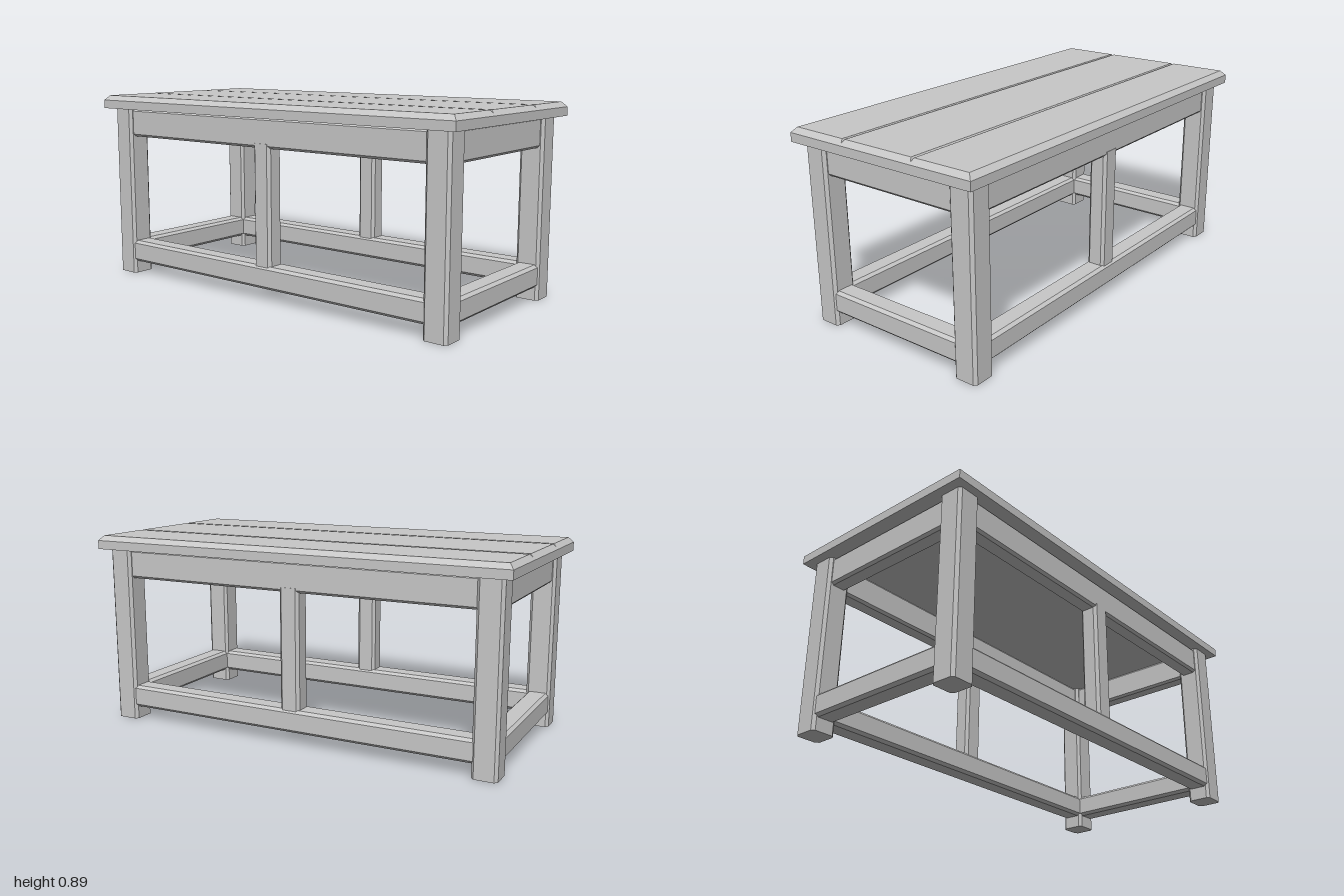
import * as THREE from 'three';

const wood = new THREE.MeshStandardMaterial({ color: 0xc8c8c8 });
wood.name = 'plain grey';

const LEG_X = 0.903, LEG_Z = 0.3935, TOP_Y = 0.825;

// Extrude an outline along z, centred on the origin
function extrude(points, length) {
  const shape = new THREE.Shape(points.map(([x, y]) => new THREE.Vector2(x, y)));
  const geometry = new THREE.ExtrudeGeometry(shape, { depth: length, bevelEnabled: false });
  return geometry.translate(0, 0, -length / 2);
}

// Beam along z whose four long edges are chamfered by c
function beam(w, h, length, c) {
  const x = w / 2, y = h / 2;
  return extrude([
    [-x + c, -y], [x - c, -y], [x, -y + c], [x, y - c],
    [x - c, y], [-x + c, y], [-x, y - c], [-x, -y + c],
  ], length);
}

export function createModel() {
  const group = new THREE.Group();
  const add = (name, geometry, x, y, z) => {
    const mesh = new THREE.Mesh(geometry, wood);
    mesh.name = name;
    mesh.position.set(x, y, z);
    group.add(mesh);
  };

  // Table top: square slab below, bevelled and grooved layer above
  add('topSlab', new THREE.BoxGeometry(2, 0.04, 0.97), 0, TOP_Y + 0.02, 0);
  const rise = 0.023, run = 0.021, g = 0.187;
  const planks = extrude([
    [-0.485, 0], [0.485, 0], [0.463, rise],
    [g + 0.008, rise], [g, 0.009], [g - 0.008, rise],
    [-g + 0.008, rise], [-g, 0.009], [-g - 0.008, rise],
    [-0.463, rise],
  ], 2);
  // Slope both ends inward with height
  const p = planks.attributes.position;
  for (let i = 0; i < p.count; i++) {
    p.setZ(i, Math.sign(p.getZ(i)) * (1 - run * p.getY(i) / rise));
  }
  planks.rotateY(Math.PI / 2);
  planks.computeVertexNormals();
  add('topPlanks', planks, 0, TOP_Y + 0.04, 0);

  // Legs
  const leg = beam(0.113, 0.113, TOP_Y, 0.013).rotateX(-Math.PI / 2);
  for (const x of [-LEG_X, LEG_X]) {
    for (const z of [-LEG_Z, LEG_Z]) add('leg', leg, x, TOP_Y / 2, z);
  }

  // Aprons under the top and stretchers near the floor
  const longApron = beam(0.08, 0.135, 1.74, 0.011).rotateY(Math.PI / 2);
  const longRail = beam(0.1, 0.105, 1.74, 0.013).rotateY(Math.PI / 2);
  const post = beam(0.095, 0.085, 0.56, 0.013).rotateX(-Math.PI / 2);
  for (const s of [-1, 1]) {
    add('longApron', longApron, 0, 0.757, s * LEG_Z);
    add('longStretcher', longRail, 0, 0.1125, s * LEG_Z);
    add('middlePost', post, 0, 0.43, s * LEG_Z);
  }
  const shortApron = beam(0.08, 0.135, 0.72, 0.011);
  const shortRail = beam(0.1, 0.105, 0.72, 0.013);
  for (const s of [-1, 1]) {
    add('shortApron', shortApron, s * LEG_X, 0.757, 0);
    add('shortStretcher', shortRail, s * LEG_X, 0.1125, 0);
  }
  return group;
}
